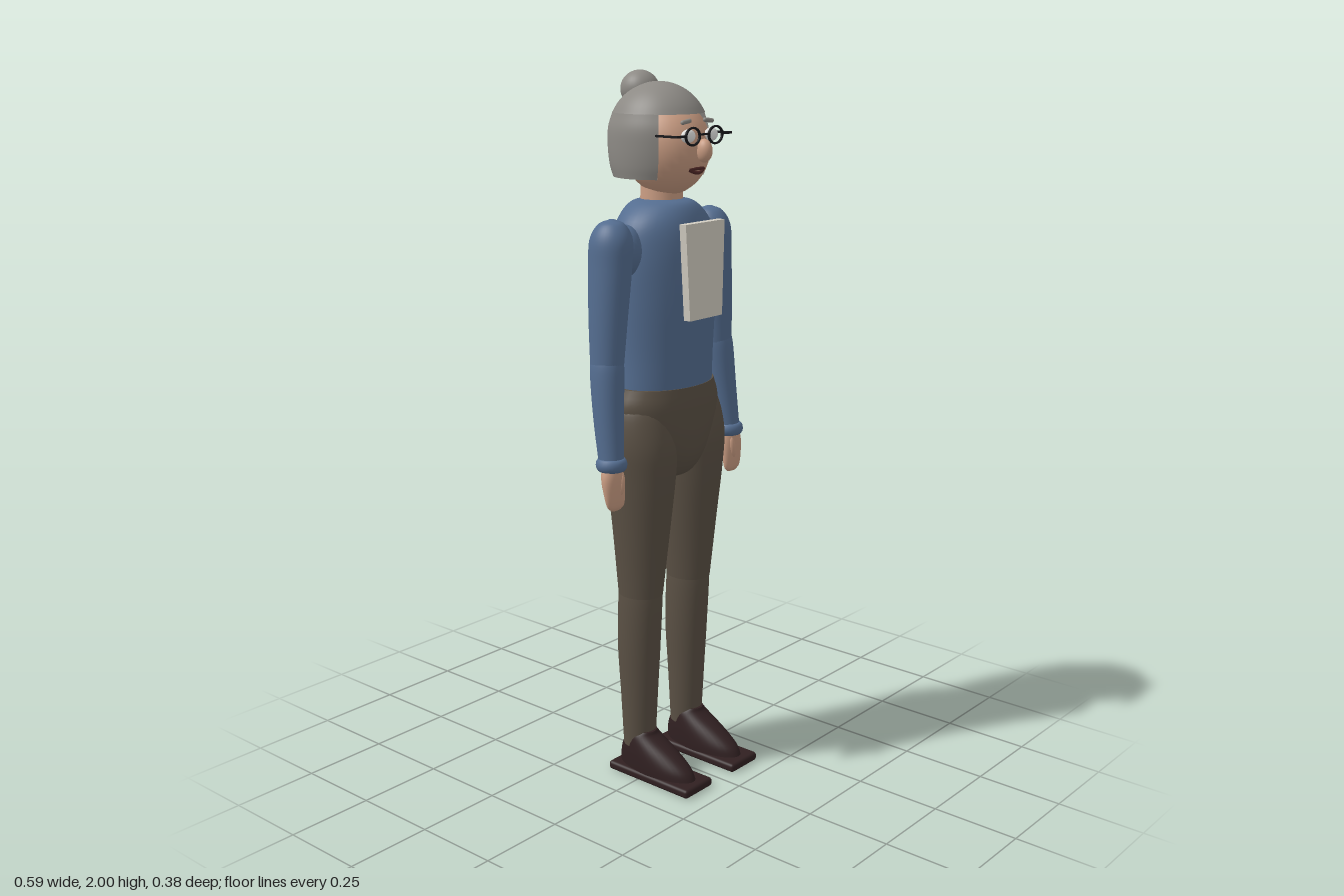
import * as THREE from 'three';
import { RoundedBoxGeometry } from 'three/addons/geometries/RoundedBoxGeometry.js';

const mat = (name, color, extra = {}) => {
  const m = new THREE.MeshStandardMaterial({ color, ...extra });
  m.name = name;
  return m;
};

// Closed or partly open elliptical tube through sections [y, rx, rz, cx, cz], listed top to bottom
function loft(sections, { open = 0, steps = 5, seg = 36, smooth = true, caps = true } = {}) {
  const centre = new THREE.CatmullRomCurve3(sections.map(s => new THREE.Vector3(s[3] || 0, s[0], s[4] || 0)), false, 'catmullrom');
  const radius = new THREE.CatmullRomCurve3(sections.map(s => new THREE.Vector3(s[1], s[2], 0)), false, 'catmullrom');
  const rows = smooth ? (sections.length - 1) * steps : sections.length - 1;
  const cols = open ? seg + 1 : seg;
  const pos = [], idx = [];
  const ring = t => {
    const c = centre.getPoint(t), r = radius.getPoint(t);
    for (let j = 0; j < cols; j++) {
      const a = open + (j / seg) * (Math.PI * 2 - 2 * open);
      pos.push(c.x + Math.sin(a) * Math.max(r.x, 0.0005), c.y, c.z + Math.cos(a) * Math.max(r.y, 0.0005));
    }
    return c;
  };
  for (let i = 0; i <= rows; i++) ring(i / rows);
  for (let i = 0; i < rows; i++) for (let j = 0; j < seg; j++) {
    const a = i * cols + j, b = i * cols + (j + 1) % cols;
    idx.push(a, a + cols, b, b, a + cols, b + cols);
  }
  if (caps && !open) for (const end of [0, 1]) {
    const start = pos.length / 3, c = ring(end), mid = pos.length / 3;
    pos.push(c.x, c.y, c.z);
    for (let j = 0; j < seg; j++) {
      const a = start + j, b = start + (j + 1) % seg;
      if (end) idx.push(mid, b, a); else idx.push(mid, a, b);
    }
  }
  const g = new THREE.BufferGeometry();
  g.setAttribute('position', new THREE.Float32BufferAttribute(pos, 3));
  g.setIndex(idx);
  g.computeVertexNormals();
  return g;
}

export function createModel() {
  const model = new THREE.Group();
  model.name = 'elderlyFigure';
  const skin = mat('skin', 0xc99c82), hair = mat('greyHair', 0x8d8a85, { side: THREE.DoubleSide });
  const blue = mat('blueSweater', 0x546d90), brown = mat('brownTrousers', 0x5a5044);
  const shoe = mat('darkShoes', 0x302021), paper = mat('creamPanel', 0xd3cec2);
  const black = mat('blackFrames', 0x17171a), white = mat('eyeWhite', 0xe4e4e2), lip = mat('lips', 0x4f2826);

  const add = (name, geo, material, x = 0, y = 0, z = 0) => {
    const m = new THREE.Mesh(geo, material);
    m.name = name;
    m.position.set(x, y, z);
    model.add(m);
    return m;
  };
  const ball = (name, material, x, y, z, rx, ry = rx, rz = rx) => {
    const m = add(name, new THREE.SphereGeometry(1, 32, 20), material, x, y, z);
    m.scale.set(rx, ry, rz);
    return m;
  };

  // Body
  add('torso', loft([
    [1.665, 0.05, 0.05, 0, -0.037], [1.65, 0.098, 0.088, 0, -0.037], [1.6, 0.148, 0.112, 0, -0.035],
    [1.52, 0.164, 0.126, 0, -0.034], [1.4, 0.164, 0.128, 0, -0.033], [1.25, 0.157, 0.121, 0, -0.033],
    [1.145, 0.157, 0.115, 0, -0.033]]), blue);
  add('pelvis', loft([
    [1.158, 0.166, 0.117, 0, -0.033], [1.1, 0.186, 0.121, 0, -0.033], [1.02, 0.166, 0.12, 0, -0.033],
    [0.95, 0.12, 0.108, 0, -0.033], [0.9, 0.075, 0.075, 0, -0.033], [0.878, 0.012, 0.014, 0, -0.033]]), brown);
  add('neck', new THREE.CylinderGeometry(0.055, 0.06, 0.12, 32), skin, 0, 1.69, -0.04);

  // Chest panel
  const panel = new THREE.Shape();
  panel.moveTo(-0.083, 1.61);
  panel.lineTo(-0.064, 1.35);
  panel.lineTo(0.072, 1.35);
  panel.lineTo(0.08, 1.61);
  add('chestPanel', new THREE.ExtrudeGeometry(panel, { depth: 0.022, bevelEnabled: false }), paper, 0, 0, 0.093);
  for (let i = 0; i < 4; i++) ball('panelStud', black, 0.078 - i * 0.002, 1.585 - i * 0.074, 0.108, 0.006);

  // Head and hair
  ball('head', skin, 0, 1.802, -0.022, 0.112, 0.13, 0.122);
  ball('nose', skin, 0, 1.797, 0.108, 0.019, 0.031, 0.024);
  const dome = [];
  for (let i = 0; i <= 7; i++) {
    const a = i / 7 * 1.13;
    dome.push([1.83 + 0.142 * Math.cos(a), 0.135 * Math.sin(a), 0.14 * Math.sin(a), 0, -0.05]);
  }
  add('hairCap', loft(dome, { steps: 3, seg: 48, caps: false }), hair);
  add('hairBob', loft([
    [1.891, 0.1221, 0.1266, 0, -0.05], [1.85, 0.1335, 0.139, 0, -0.05], [1.8, 0.135, 0.14, 0, -0.05],
    [1.755, 0.132, 0.134, 0, -0.05], [1.722, 0.126, 0.122, 0, -0.05]], { open: 0.88, seg: 40 }), hair);
  add('hairUnderside', loft([
    [1.722, 0.126, 0.122, 0, -0.05], [1.728, 0.098, 0.096, 0, -0.05]], { open: 0.88, seg: 40, smooth: false }), hair);
  ball('hairBun', hair, 0, 1.95, -0.117, 0.053, 0.05, 0.053);

  // Mouth: two thin curved lips
  const mouth = (name, y, bend) => add(name, new THREE.TubeGeometry(new THREE.QuadraticBezierCurve3(
    new THREE.Vector3(-0.03, 1.748, 0.08), new THREE.Vector3(0, y, 0.094 + bend),
    new THREE.Vector3(0.03, 1.748, 0.08)), 12, 0.005, 8), lip);
  mouth('upperLip', 1.752, 0.002);
  mouth('lowerLip', 1.728, 0);

  for (const s of [-1, 1]) {
    // Eyes, brows and spectacles
    ball('eye', white, s * 0.047, 1.836, 0.092, 0.026, 0.018, 0.012);
    const brow = add('eyebrow', new THREE.CapsuleGeometry(0.006, 0.028, 4, 10), hair, s * 0.046, 1.873, 0.084);
    brow.rotation.z = Math.PI / 2 - s * 0.12;
    const rim = add('spectacleRim', new THREE.TorusGeometry(0.028, 0.0038, 8, 32), black, s * 0.047, 1.836, 0.108);
    rim.scale.y = 0.8;
    add('spectacleHinge', new THREE.BoxGeometry(0.04, 0.006, 0.005), black, s * 0.094, 1.838, 0.108);
    add('spectacleTemple', new THREE.BoxGeometry(0.005, 0.006, 0.075), black, s * 0.112, 1.838, 0.073);

    // Arm
    ball('shoulderJoint', blue, s * 0.16, 1.535, -0.036, 0.055, 0.072, 0.055);
    add('upperArm', loft([
      [1.624, 0.008, 0.008, s * 0.203, -0.038], [1.61, 0.036, 0.038, s * 0.204, -0.038],
      [1.57, 0.055, 0.06, s * 0.206, -0.038], [1.5, 0.055, 0.061, s * 0.211, -0.038],
      [1.37, 0.05, 0.055, s * 0.222, -0.037], [1.235, 0.043, 0.047, s * 0.232, -0.034]]), blue);
    add('forearm', loft([
      [1.27, 0.036, 0.04, s * 0.231, -0.034], [1.225, 0.044, 0.048, s * 0.234, -0.032],
      [1.1, 0.04, 0.042, s * 0.244, -0.02], [0.965, 0.033, 0.034, s * 0.253, -0.002]]), blue);
    const cuff = add('cuff', new THREE.TorusGeometry(0.031, 0.012, 12, 32), blue, s * 0.253, 0.973, -0.002);
    cuff.rotation.x = Math.PI / 2;
    cuff.scale.z = 1.5;
    add('hand', loft([
      [0.985, 0.026, 0.023, s * 0.253, 0], [0.94, 0.037, 0.025, s * 0.256, 0.004],
      [0.895, 0.037, 0.019, s * 0.255, 0.009], [0.86, 0.032, 0.012, s * 0.253, 0.012],
      [0.846, 0.018, 0.005, s * 0.252, 0.012]]), skin);
    const thumb = ball('thumb', skin, s * 0.242, 0.918, 0.021, 0.011, 0.034, 0.011);
    thumb.rotation.z = s * 0.15;

    // Leg
    add('thigh', loft([
      [1.13, 0.045, 0.05, s * 0.115, -0.033], [1.09, 0.078, 0.085, s * 0.11, -0.033],
      [1.0, 0.096, 0.108, s * 0.105, -0.031], [0.9, 0.09, 0.102, s * 0.104, -0.028],
      [0.75, 0.077, 0.085, s * 0.104, -0.028], [0.555, 0.058, 0.067, s * 0.105, -0.031]]), brown);
    add('shin', loft([
      [0.6, 0.052, 0.058, s * 0.105, -0.031], [0.55, 0.058, 0.066, s * 0.105, -0.032],
      [0.4, 0.058, 0.064, s * 0.105, -0.038], [0.25, 0.052, 0.055, s * 0.105, -0.038],
      [0.09, 0.046, 0.046, s * 0.105, -0.038]]), brown);

    // Shoe
    add('shoeUpper', loft([
      [0.138, 0.03, 0.024, s * 0.105, -0.006], [0.122, 0.044, 0.05, s * 0.105, -0.018],
      [0.085, 0.052, 0.096, s * 0.105, 0.004], [0.05, 0.055, 0.126, s * 0.105, 0.025],
      [0.018, 0.055, 0.136, s * 0.105, 0.034]]), shoe);
    add('shoeSole', new RoundedBoxGeometry(0.118, 0.026, 0.3, 3, 0.01), shoe, s * 0.105, 0.013, 0.04);
  }
  add('spectacleBridge', new THREE.BoxGeometry(0.042, 0.005, 0.005), black, 0, 1.84, 0.11);
  return model;
}
